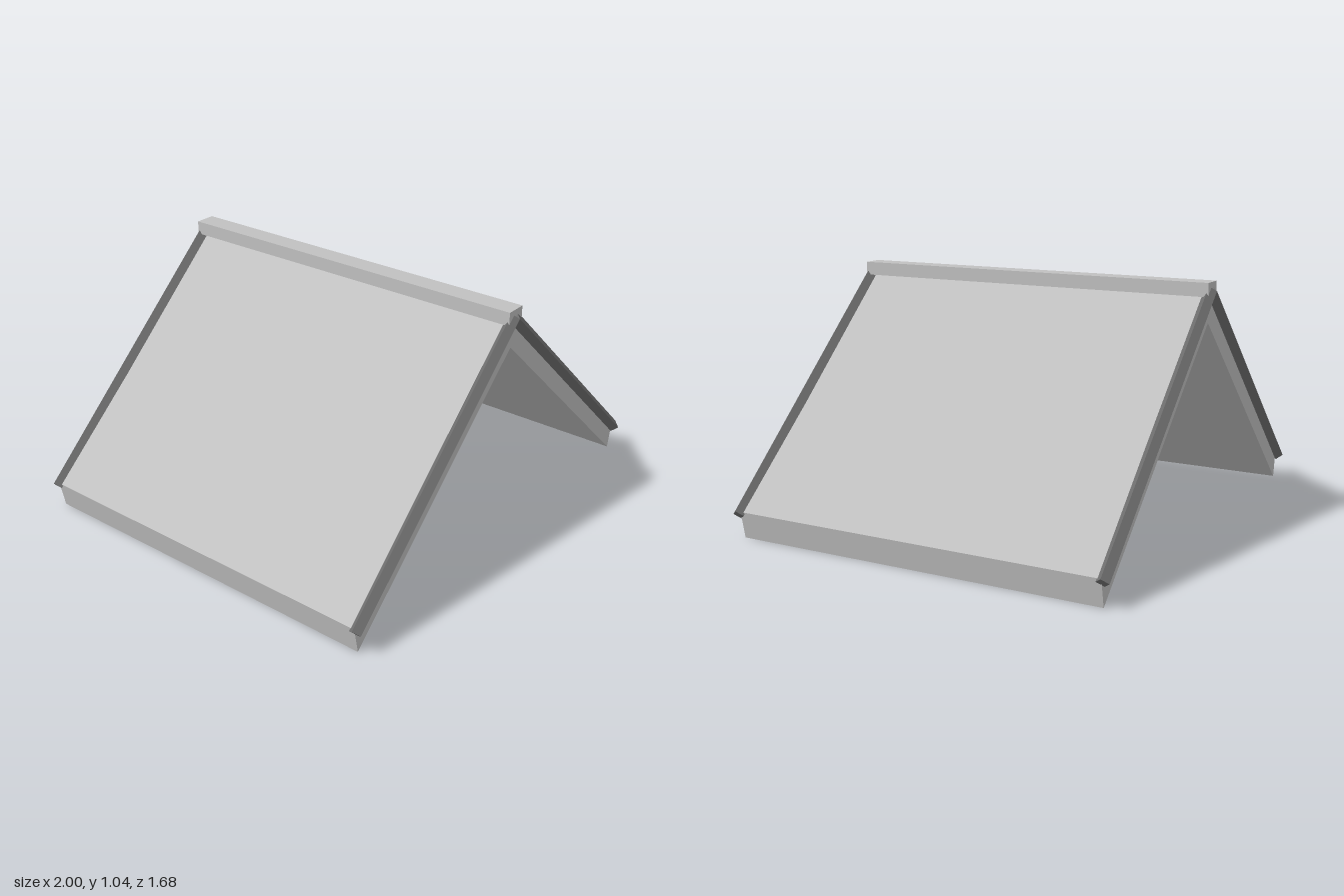
import * as THREE from 'three';

export function createModel() {
  const roof = new THREE.Group();
  roof.name = 'gableRoof';
  const panelGrey = new THREE.MeshStandardMaterial({ color: 0xc0c0c0 });
  panelGrey.name = 'light grey panel';
  const trimGrey = new THREE.MeshStandardMaterial({ color: 0x707070 });
  trimGrey.name = 'dark grey trim';

  const add = (name, geometry, material) => {
    const mesh = new THREE.Mesh(geometry, material);
    mesh.name = name;
    roof.add(mesh);
    return mesh;
  };

  // Two sloping slabs, extruded from front to back
  const depth = 1.61;
  for (const side of [1, -1]) {
    const outline = [[0, 1.0], [0.977, 0.122], [0.955, 0.008], [0, 0.88]];
    const shape = new THREE.Shape(outline.map(([x, y]) => new THREE.Vector2(x * side, y)));
    const geometry = new THREE.ExtrudeGeometry(shape, { depth, bevelEnabled: false });
    geometry.translate(0, 0, -depth / 2);
    add(side > 0 ? 'leftSlab' : 'rightSlab', geometry, panelGrey);
  }

  // Diamond-section beams along the four sloping gable edges
  const run = 0.982, rise = 0.9;
  const length = Math.hypot(run, rise);
  const width = 0.0385;
  for (const side of [1, -1]) {
    for (const end of [1, -1]) {
      const geometry = new THREE.BoxGeometry(length, width, width);
      geometry.rotateX(Math.PI / 4);
      const name = (end > 0 ? 'front' : 'back') + (side > 0 ? 'Left' : 'Right') + 'Trim';
      const beam = add(name, geometry, trimGrey);
      beam.position.set(side * run / 2, 1.01 - rise / 2, end * 0.812);
      beam.rotation.z = -side * Math.atan2(rise, run);
    }
  }

  // Cap along the ridge
  const cap = add('ridgeCap', new THREE.BoxGeometry(0.09, 0.057, 1.64), panelGrey);
  cap.position.y = 1.0175;

  return roof;
}
